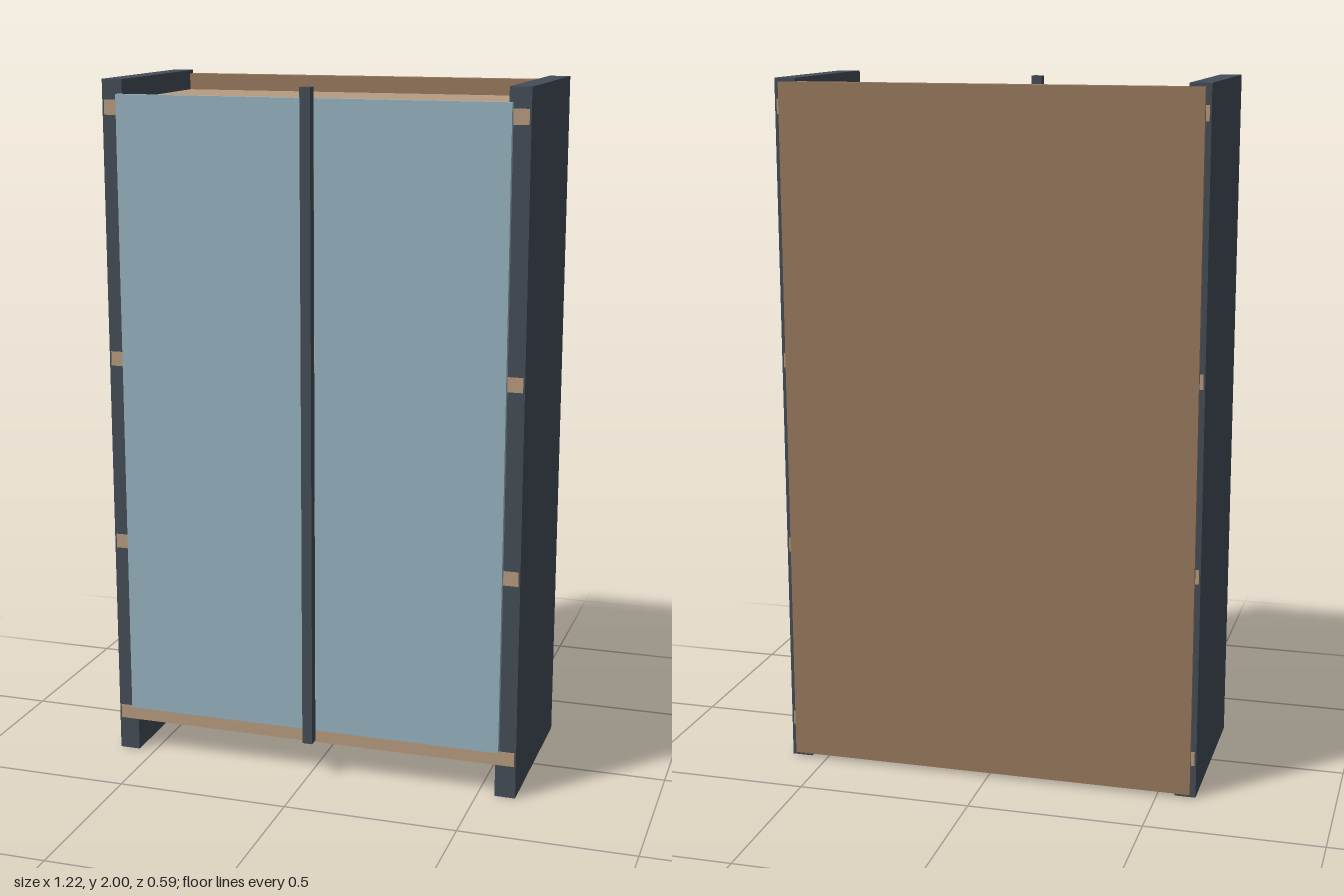
import * as THREE from 'three';

const mat = (name, color) => {
  const m = new THREE.MeshStandardMaterial({ color });
  m.name = name;
  return m;
};

export function createModel() {
  const slate = mat('slate', 0x444d58);
  const tan = mat('tan wood', 0xb89c7f);
  const brown = mat('brown wood', 0x9a7a5f);
  const blue = mat('pale blue', 0x98b5c1);

  const group = new THREE.Group();
  group.name = 'wardrobe';

  // Box given by its lower and upper limits on each axis
  const box = (name, material, [x0, x1], [y0, y1], [z0, z1]) => {
    const mesh = new THREE.Mesh(new THREE.BoxGeometry(x1 - x0, y1 - y0, z1 - z0), material);
    mesh.position.set((x0 + x1) / 2, (y0 + y1) / 2, (z0 + z1) / 2);
    mesh.name = name;
    group.add(mesh);
  };

  // Side panels and doors, mirrored
  for (const [side, s] of [['left', 1], ['right', -1]]) {
    const span = (a, b) => (s > 0 ? [a, b] : [-b, -a]);
    box(side + 'SidePanel', slate, span(0.55, 0.61), [0, 2], [-0.28, 0.252]);
    box(side + 'Door', blue, span(0.018, 0.562), [0.14, 1.96], [0.254, 0.271]);
  }

  // Back panel
  box('backPanel', brown, [-0.595, 0.595], [0.012, 1.99], [-0.294, -0.256]);

  // Bottom, shelves and top, with ends just showing through the side panels
  [['bottomPanel', 0.117], ['lowerShelf', 0.655], ['upperShelf', 1.205], ['topPanel', 1.922]]
    .forEach(([name, y]) =>
      box(name, tan, [-0.605, 0.605], [y - 0.021, y + 0.021], [-0.2808, 0.2528]));

  // Full-height handle bar over the gap between the doors
  box('handleBar', slate, [-0.015, 0.015], [0.105, 1.99], [0.263, 0.293]);

  return group;
}
